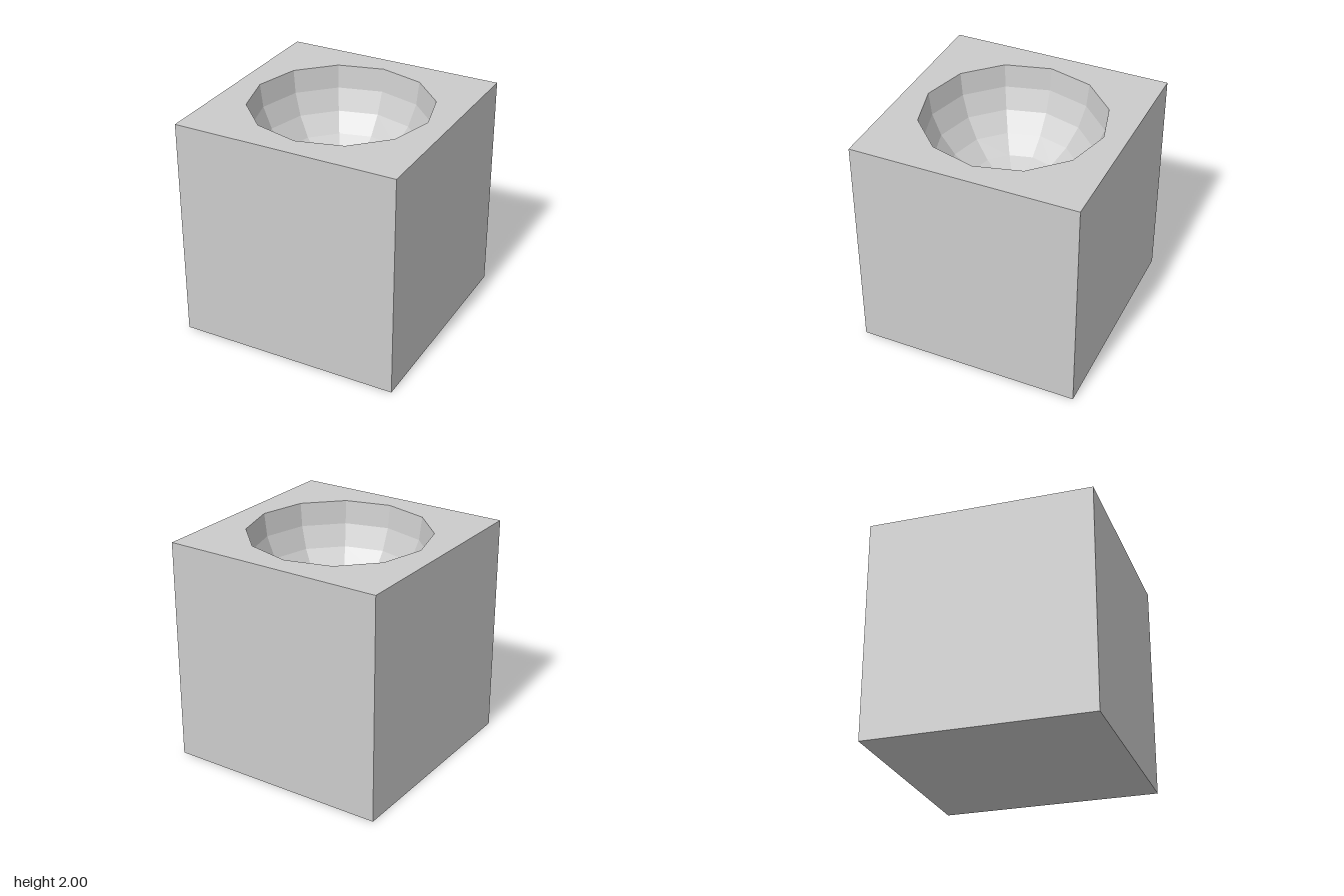
import * as THREE from 'three';

const SIZE = 2, RADIUS = 0.8, SIDES = 12, RINGS = 6;

export function createModel() {
  const group = new THREE.Group();
  group.name = 'hollowedBlock';
  const material = new THREE.MeshStandardMaterial({ color: 0xcccccc, flatShading: true });

  const add = (name, geometry, y) => {
    const mesh = new THREE.Mesh(geometry, material);
    mesh.name = name;
    mesh.position.y = y;
    group.add(mesh);
    return mesh;
  };

  // Four walls and the base: a cube without its top face (indices 12 to 17)
  const block = new THREE.BoxGeometry(SIZE, SIZE, SIZE);
  block.setIndex(Array.from(block.index.array).filter((_, i) => i < 12 || i > 17));
  block.clearGroups();
  add('blockWalls', block, SIZE / 2);

  // Top face with a twelve-sided opening
  const h = SIZE / 2;
  const top = new THREE.Shape([
    new THREE.Vector2(-h, -h), new THREE.Vector2(h, -h),
    new THREE.Vector2(h, h), new THREE.Vector2(-h, h),
  ]);
  const rim = Array.from({ length: SIDES }, (_, i) => {
    const a = (-i / SIDES) * Math.PI * 2;
    return new THREE.Vector2(Math.cos(a) * RADIUS, Math.sin(a) * RADIUS);
  });
  top.holes.push(new THREE.Path(rim));
  add('topFace', new THREE.ShapeGeometry(top).rotateX(-Math.PI / 2), SIZE);

  // Faceted half-sphere bowl, profiled from rim to bottom so it faces inward
  const profile = Array.from({ length: RINGS + 1 }, (_, i) => {
    const a = (i / RINGS) * Math.PI / 2;
    return new THREE.Vector2(i === RINGS ? 0 : Math.cos(a) * RADIUS, -Math.sin(a) * RADIUS);
  });
  add('bowl', new THREE.LatheGeometry(profile, SIDES), SIZE);

  return group;
}
